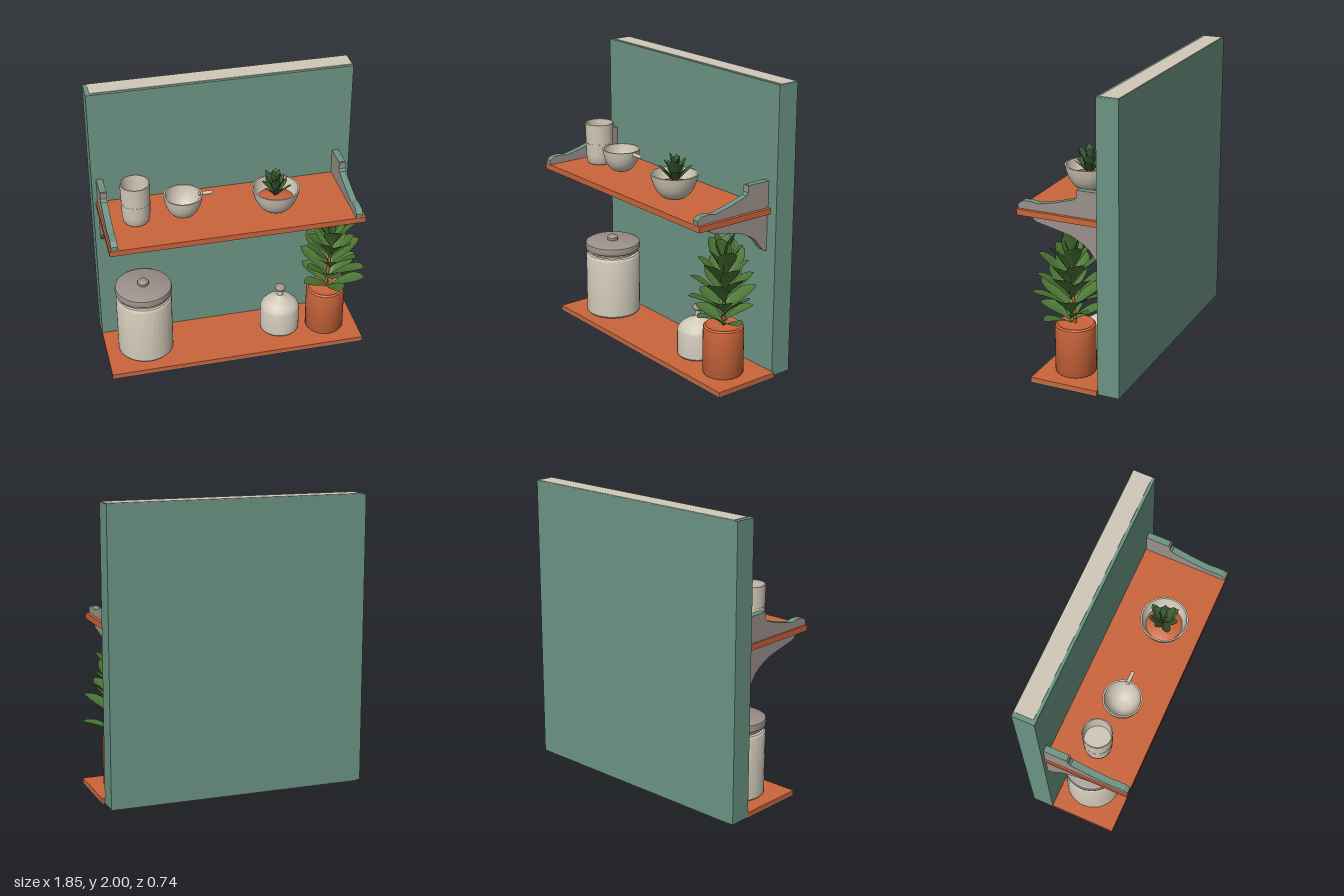
import * as THREE from 'three';
import { mergeGeometries, toCreasedNormals } from 'three/addons/utils/BufferGeometryUtils.js';

const mat = (name, color, side = THREE.FrontSide) => {
  const m = new THREE.MeshStandardMaterial({ color, side });
  m.name = name;
  return m;
};

export function createModel() {
  const root = new THREE.Group();
  root.name = 'wallShelf';

  const green = mat('panelGreen', 0x6b9483);
  const terracotta = mat('terracotta', 0xca643a);
  const cream = mat('cream', 0xd0c8b8);
  const taupe = mat('taupe', 0x9c908a);
  const brown = mat('undersideBrown', 0xa88a74);
  const leafGreen = mat('leafGreen', 0x4c7635, THREE.DoubleSide);
  const darkLeaf = mat('darkLeafGreen', 0x3d5f33, THREE.DoubleSide);

  const add = (name, geo, material, x = 0, y = 0, z = 0) => {
    const m = new THREE.Mesh(geo, material);
    m.name = name;
    m.position.set(x, y, z);
    root.add(m);
    return m;
  };
  // box given by its limits on each axis
  const box = (name, material, x0, x1, y0, y1, z0, z1) =>
    add(name, new THREE.BoxGeometry(x1 - x0, y1 - y0, z1 - z0), material,
      (x0 + x1) / 2, (y0 + y1) / 2, (z0 + z1) / 2);
  // turned part from [radius, height] points, sharp edges kept
  const turned = (name, points, material, x, y, z) =>
    add(name, toCreasedNormals(new THREE.LatheGeometry(
      points.map(p => new THREE.Vector2(p[0], p[1])), 40), 0.6), material, x, y, z);

  // back panel with pale strips along its top and bottom edges
  box('backPanel', green, -0.93, 0.87, 0.004, 1.996, -0.37, -0.218);
  box('panelTopStrip', cream, -0.90, 0.865, 1.994, 2.0, -0.368, -0.238);
  box('panelBottomStrip', cream, -0.90, 0.865, 0, 0.006, -0.368, -0.238);

  // shelves
  box('lowerShelf', terracotta, -0.93, 0.89, 0.009, 0.036, -0.22, 0.257);
  box('lowerShelfUnderside', brown, -0.93, 0.89, 0, 0.009, -0.22, 0.257);
  box('upperShelf', terracotta, -0.91, 0.815, 1.135, 1.175, -0.22, 0.372);

  // brackets: a side profile in (z, y) given a width along x
  const bracket = (name, profile, width, materials, x) => {
    const geo = new THREE.ExtrudeGeometry(
      new THREE.Shape(profile.map(p => new THREE.Vector2(p[0], p[1]))),
      { depth: width, bevelEnabled: false });
    geo.rotateY(-Math.PI / 2).translate(width / 2, 0, 0);
    add(name, geo, materials, x);
  };
  const under = [[-0.22, 1.136], [-0.22, 0.875], [-0.19, 0.885], [-0.165, 0.91], [-0.13, 0.96],
    [-0.08, 1.0], [0, 1.04], [0.1, 1.065], [0.24, 1.095], [0.27, 1.115], [0.28, 1.136]];
  const upper = [[-0.22, 1.174], [0.37, 1.174], [0.37, 1.205], [0.34, 1.228], [0.28, 1.232],
    [0.23, 1.222], [0.1, 1.25], [-0.03, 1.29], [-0.045, 1.31], [-0.055, 1.355], [-0.22, 1.355]];
  for (const x of [-0.87, -0.272, 0.215, 0.762]) bracket('underBracket', under, 0.048, taupe, x);
  for (const x of [-0.876, 0.77]) {
    bracket('endBracket', upper, 0.045, [taupe, green], x);
    box('endBracketFace', taupe, x - 0.0225, x + 0.0225, 1.305, 1.353, -0.053, -0.044);
  }

  // two stacked cups
  turned('lowerCup', [[0, 0], [0.08, 0], [0.088, 0.012], [0.094, 0.06], [0.097, 0.15], [0, 0.15]],
    cream, -0.68, 1.183, 0.065);
  turned('upperCup', [[0, 0], [0.096, 0], [0.1, 0.142], [0.093, 0.142], [0.088, 0.015], [0, 0.015]],
    cream, -0.68, 1.333, 0.065);

  // hollow bowl: an arc of the given sweep from foot to rim and back inside
  const bowlProfile = (R, H, foot, sweep) => {
    const wall = 0.011, steps = 9;
    const arc = (inset, floor) => Array.from({ length: steps + 1 }, (_, i) => {
      const a = i / steps * sweep;
      return [foot + (R - foot) * Math.sin(a) / Math.sin(sweep) - inset,
        floor + (H - floor) * (1 - Math.cos(a)) / (1 - Math.cos(sweep))];
    });
    return [[0, 0], ...arc(0, 0), ...arc(wall, wall).reverse(), [0, wall]];
  };

  // small handled bowl
  turned('handledBowl', bowlProfile(0.13, 0.157, 0.03, 1.4), cream, -0.37, 1.202, 0.1);
  const handle = add('bowlHandle', new THREE.CapsuleGeometry(0.013, 0.075, 4, 10), cream, -0.215, 1.342, 0.087);
  handle.rotation.z = Math.PI / 2;

  // planted bowl
  turned('plantBowl', bowlProfile(0.16, 0.165, 0.05, 1.2), cream, 0.255, 1.176, 0.127);
  turned('plantBowlSoil', [[0.122, 0], [0.1, 0.014], [0, 0.018]], terracotta, 0.255, 1.258, 0.127);

  // leaf: a strip bent outwards along its length and folded along its midrib
  const leaf = (length, width, lean, bend) => {
    const geo = new THREE.PlaneGeometry(1, 1, 4, 10);
    const pos = geo.attributes.position;
    for (let i = 0; i < pos.count; i++) {
      const u = pos.getX(i) * 2, t = pos.getY(i) + 0.5;
      const half = width / 2 * (0.1 * (1 - t) + Math.max(0, Math.sin(Math.PI * t ** 1.6)) ** 0.7);
      let out = 0, up = 0;
      for (let k = 0; k < 16; k++) {
        const a = lean + bend * t * (k + 0.5) / 16;
        out += Math.sin(a) * length * t / 16;
        up += Math.cos(a) * length * t / 16;
      }
      const fold = u * u * half * 0.2, end = lean + bend * t;
      pos.setXYZ(i, u * half, up + fold * Math.sin(end), out - fold * Math.cos(end));
    }
    geo.computeVertexNormals();
    return geo;
  };
  // whorls: [height, count, length, width, lean, bend], with a little stagger
  const foliage = (whorls, stagger) => {
    const parts = [];
    whorls.forEach(([y, n, length, width, lean, bend], w) => {
      for (let i = 0; i < n; i++) {
        const s = 1 + 0.1 * Math.sin(i * 2.4 + w * 1.7);
        parts.push(leaf(length * s, width, lean * s, bend)
          .rotateY((i + 0.47 * w) / n * Math.PI * 2 + w * 0.3)
          .translate(0, y + stagger * Math.sin(i * 4.1 + w), 0));
      }
    });
    return mergeGeometries(parts);
  };
  add('succulentLeaves', foliage([
    [0, 7, 0.155, 0.055, 0.6, 0.25],
    [0.015, 6, 0.17, 0.055, 0.36, 0.2],
    [0.035, 4, 0.165, 0.05, 0.14, 0.15],
  ], 0.005), darkLeaf, 0.255, 1.268, 0.12);

  // lidded jar
  turned('jarBody', [[0, 0], [0.185, 0], [0.195, 0.012], [0.195, 0.44], [0.185, 0.455],
    [0.165, 0.458], [0.165, 0.47], [0.185, 0.472], [0.185, 0.485], [0, 0.485]], cream, -0.645, 0.036, -0.014);
  turned('jarLid', [[0, 0], [0.18, 0], [0.197, 0.012], [0.2, 0.035], [0.195, 0.058], [0.18, 0.066], [0, 0.072]],
    taupe, -0.645, 0.515, -0.014);
  turned('jarKnob', [[0.034, 0], [0.04, 0.012], [0.039, 0.025], [0.03, 0.036], [0.016, 0.042], [0, 0.044]],
    taupe, -0.645, 0.58, -0.014);

  // stoppered bottle
  turned('bottleBody', [[0, 0], [0.13, 0], [0.14, 0.012], [0.14, 0.185], [0.132, 0.205], [0.105, 0.235],
    [0.065, 0.26], [0.03, 0.272], [0.02, 0.285], [0.02, 0.33], [0, 0.33]], cream, 0.34, 0.036, -0.012);
  const stopper = add('bottleStopper', new THREE.SphereGeometry(0.039, 24, 14), taupe, 0.342, 0.382, -0.012);
  stopper.scale.y = 0.62;

  // potted plant
  turned('pot', [[0, 0], [0.13, 0], [0.137, 0.012], [0.137, 0.315], [0.134, 0.335], [0.122, 0.345],
    [0.11, 0.337], [0.08, 0.337], [0, 0.345]], terracotta, 0.664, 0.036, 0.035);
  const stemPath = new THREE.CatmullRomCurve3([[0.665, 0.37, 0.035], [0.68, 0.6, 0.045], [0.69, 0.86, 0.05]]
    .map(p => new THREE.Vector3(...p)));
  add('plantStem', new THREE.TubeGeometry(stemPath, 12, 0.011, 8), terracotta);
  add('plantLeaves', foliage([
    [0.4, 5, 0.25, 0.12, 0.9, 0.5],
    [0.47, 6, 0.28, 0.13, 0.75, 0.4],
    [0.56, 6, 0.29, 0.13, 0.65, 0.35],
    [0.65, 6, 0.28, 0.125, 0.58, 0.3],
    [0.74, 5, 0.25, 0.12, 0.42, 0.3],
    [0.81, 4, 0.225, 0.11, 0.2, 0.2],
  ], 0.018), leafGreen, 0.688, 0, 0.055);

  return root;
}
